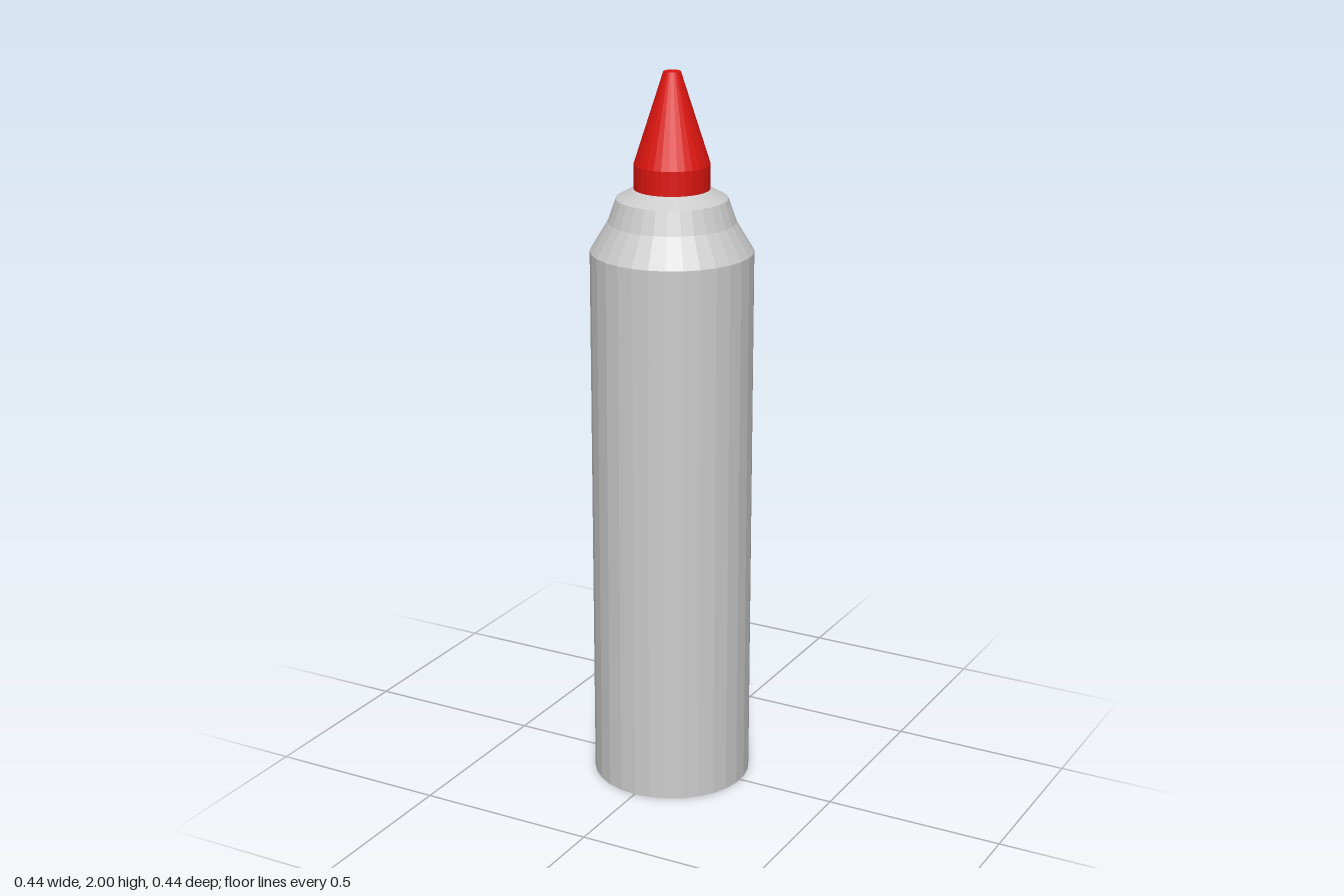
import * as THREE from 'three';

const SIDES = 30;

// Faceted solid of revolution from [radius, height] pairs, bottom to top
function turned(name, profile, color, side = THREE.FrontSide) {
  const points = profile.map(([r, y]) => new THREE.Vector2(r, y));
  const material = new THREE.MeshStandardMaterial({ color, flatShading: true, side });
  const mesh = new THREE.Mesh(new THREE.LatheGeometry(points, SIDES), material);
  mesh.name = name;
  return mesh;
}

export function createModel() {
  const group = new THREE.Group();
  group.name = 'squeezeBottle';

  // Thin-walled body with stepped shoulder, open at the bottom rim
  group.add(turned('body', [
    [0.22, 0], [0.22, 1.52], [0.172, 1.6], [0.15, 1.663], [0.1, 1.69], [0, 1.69],
  ], 0xcccccc, THREE.DoubleSide));

  // Base plate set slightly up inside the rim
  const base = new THREE.Mesh(
    new THREE.CircleGeometry(0.219, SIDES, Math.PI / 2),
    new THREE.MeshStandardMaterial({ color: 0xcccccc, side: THREE.DoubleSide }),
  );
  base.name = 'base';
  base.rotation.x = Math.PI / 2;
  base.position.y = 0.037;
  group.add(base);

  // Red nozzle: short collar, cone and flat tip
  group.add(turned('nozzle', [
    [0.102, 1.685], [0.102, 1.755], [0.023, 2], [0, 2],
  ], 0xdd1510));

  return group;
}
